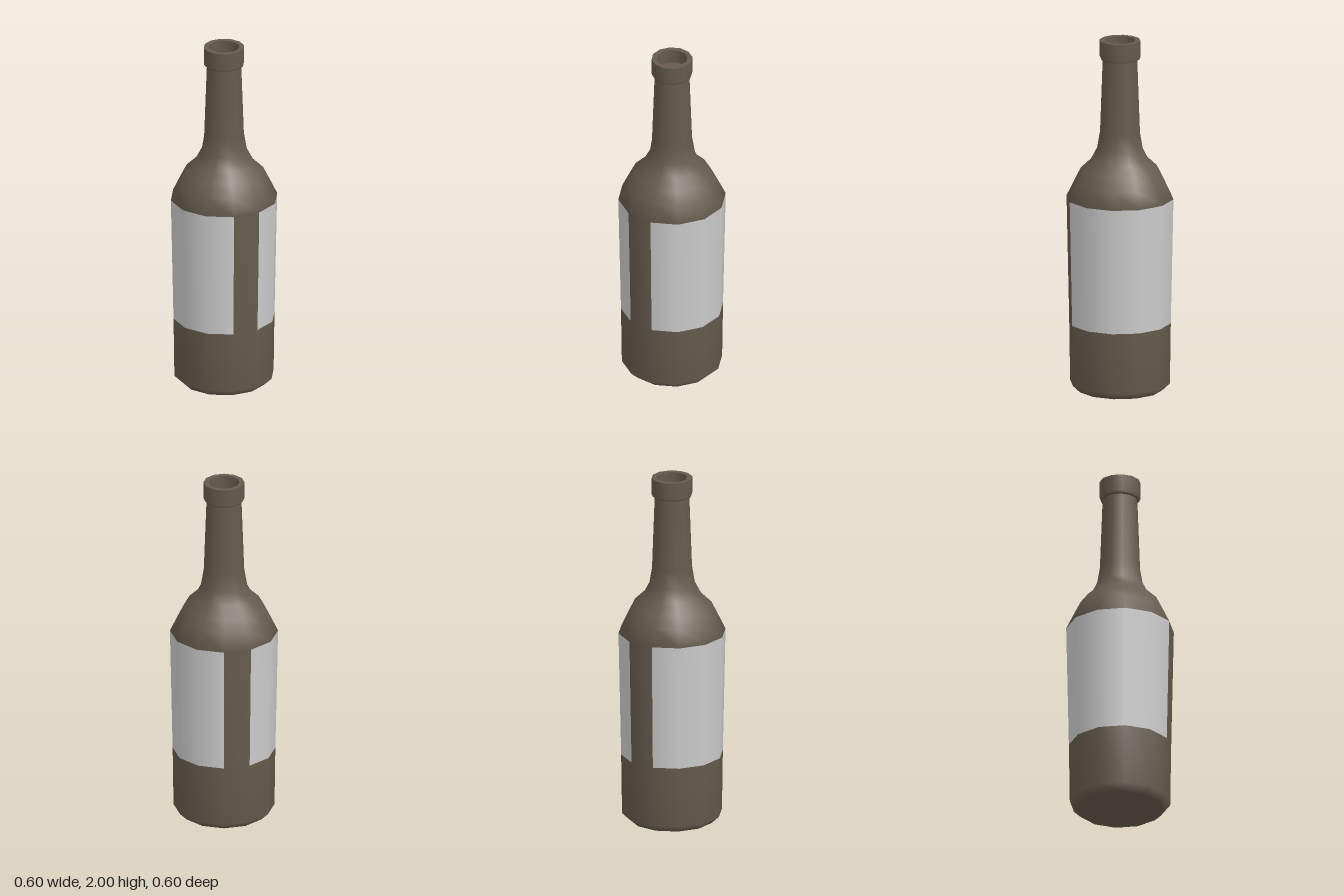
import * as THREE from 'three';

const SIDES = 12;
const glass = new THREE.MeshStandardMaterial({ color: 0x665b4d });
const paper = new THREE.MeshStandardMaterial({ color: 0xcccccc });

// Turned part from [radius, height] pairs, listed so that the outside faces out
function turned(name, profile, material, firstSide = 0, sides = SIDES) {
  const step = (Math.PI * 2) / SIDES;
  const points = profile.map(([r, y]) => new THREE.Vector2(r, y));
  const geometry = new THREE.LatheGeometry(points, sides, firstSide * step, sides * step);
  const mesh = new THREE.Mesh(geometry, material);
  mesh.name = name;
  return mesh;
}

export function createModel() {
  const bottle = new THREE.Group();
  bottle.name = 'bottle';

  // Base, body, shoulder and neck in one smooth skin
  const labelBottom = [0.285, 0.385];
  const labelTop = [0.3, 1.097];
  const profile = [
    [0, 0], [0.238, 0], [0.28, 0.04], labelBottom, labelTop,
    [0.255, 1.19], [0.22, 1.26], [0.162, 1.315], [0.128, 1.38],
    [0.112, 1.475], [0.097, 1.89],
  ];
  const body = turned('body', profile, glass);

  // Leave the label panels out of the glass, keeping one bare side at each gap
  const gaps = [2, 8];
  const labelRow = profile.indexOf(labelBottom);
  const index = body.geometry.index.array;
  const kept = [];
  for (let i = 0; i < index.length; i += 3) {
    const corners = [index[i], index[i + 1], index[i + 2]];
    const columns = corners.map((v) => Math.floor(v / profile.length));
    const rows = corners.map((v) => v % profile.length);
    const inLabel = Math.min(...rows) === labelRow && !gaps.includes(Math.min(...columns));
    if (!inLabel) kept.push(...corners);
  }
  body.geometry.setIndex(kept);
  bottle.add(body);

  // Front and back labels, flush with the glass
  bottle.add(turned('frontLabel', [labelBottom, labelTop], paper, 9, 5));
  bottle.add(turned('backLabel', [labelBottom, labelTop], paper, 3, 5));

  // Collar around the mouth, with crisp edges
  bottle.add(turned('collarUnderside', [[0.097, 1.89], [0.108, 1.892]], glass));
  bottle.add(turned('collar', [[0.108, 1.892], [0.114, 1.905], [0.114, 2]], glass));
  bottle.add(turned('rim', [[0.114, 2], [0.086, 2]], glass));

  // Recessed mouth
  bottle.add(turned('mouthWall', [[0.086, 2], [0.086, 1.92]], glass));
  bottle.add(turned('mouthFloor', [[0.086, 1.92], [0, 1.92]], glass));

  return bottle;
}
